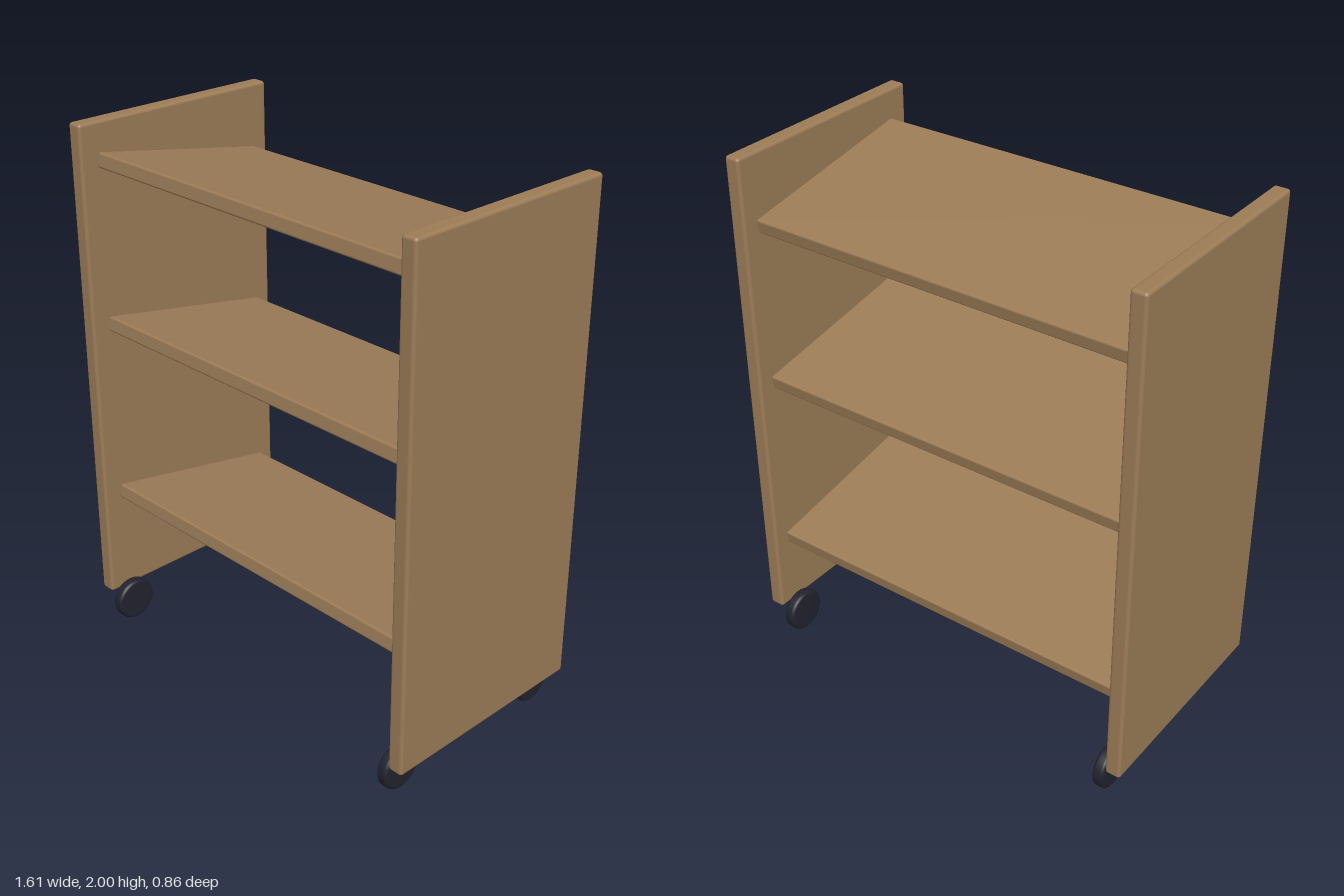
import * as THREE from 'three';
import { RoundedBoxGeometry } from 'three/addons/geometries/RoundedBoxGeometry.js';

const wood = new THREE.MeshStandardMaterial({ color: 0x9c7c57 });
wood.name = 'wood';
const rubber = new THREE.MeshStandardMaterial({ color: 0x22222e });
rubber.name = 'dark rubber';

function add(group, name, geometry, material, x, y, z) {
  const mesh = new THREE.Mesh(geometry, material);
  mesh.name = name;
  mesh.position.set(x, y, z);
  group.add(mesh);
  return mesh;
}

// Wheel: solid disc with rounded rims, turned about the x axis
function wheelGeometry(radius, width, bevel) {
  const h = width / 2;
  const points = [new THREE.Vector2(0, -h)];
  for (const side of [-1, 1]) {
    for (let i = 0; i <= 4; i++) {
      const a = (side < 0 ? i - 4 : i) * Math.PI / 8;
      points.push(new THREE.Vector2(
        radius - bevel + bevel * Math.cos(a),
        side * (h - bevel) + bevel * Math.sin(a)));
    }
  }
  points.push(new THREE.Vector2(0, h));
  return new THREE.LatheGeometry(points, 32).rotateZ(Math.PI / 2);
}

export function createModel() {
  const cart = new THREE.Group();
  cart.name = 'bookCart';

  // Upright side panels
  const panel = new RoundedBoxGeometry(0.06, 1.872, 0.854, 3, 0.012);
  for (const side of [1, -1]) {
    add(cart, side > 0 ? 'leftPanel' : 'rightPanel', panel, wood, side * 0.775, 1.064, 0);
  }

  // Shelves, tipped down towards the back
  const shelf = new RoundedBoxGeometry(1.5, 0.054, 0.728, 3, 0.008);
  ['bottomShelf', 'middleShelf', 'topShelf'].forEach((name, i) => {
    add(cart, name, shelf, wood, 0, [0.493, 1.187, 1.8][i], -0.004).rotation.x = -0.177;
  });

  // Four wheels just inside the panels
  const wheel = wheelGeometry(0.082, 0.046, 0.013);
  for (const x of [1, -1]) {
    for (const z of [1, -1]) {
      const name = (z > 0 ? 'front' : 'back') + (x > 0 ? 'Left' : 'Right') + 'Wheel';
      add(cart, name, wheel, rubber, x * 0.716, 0.082, z * 0.347);
    }
  }
  return cart;
}
